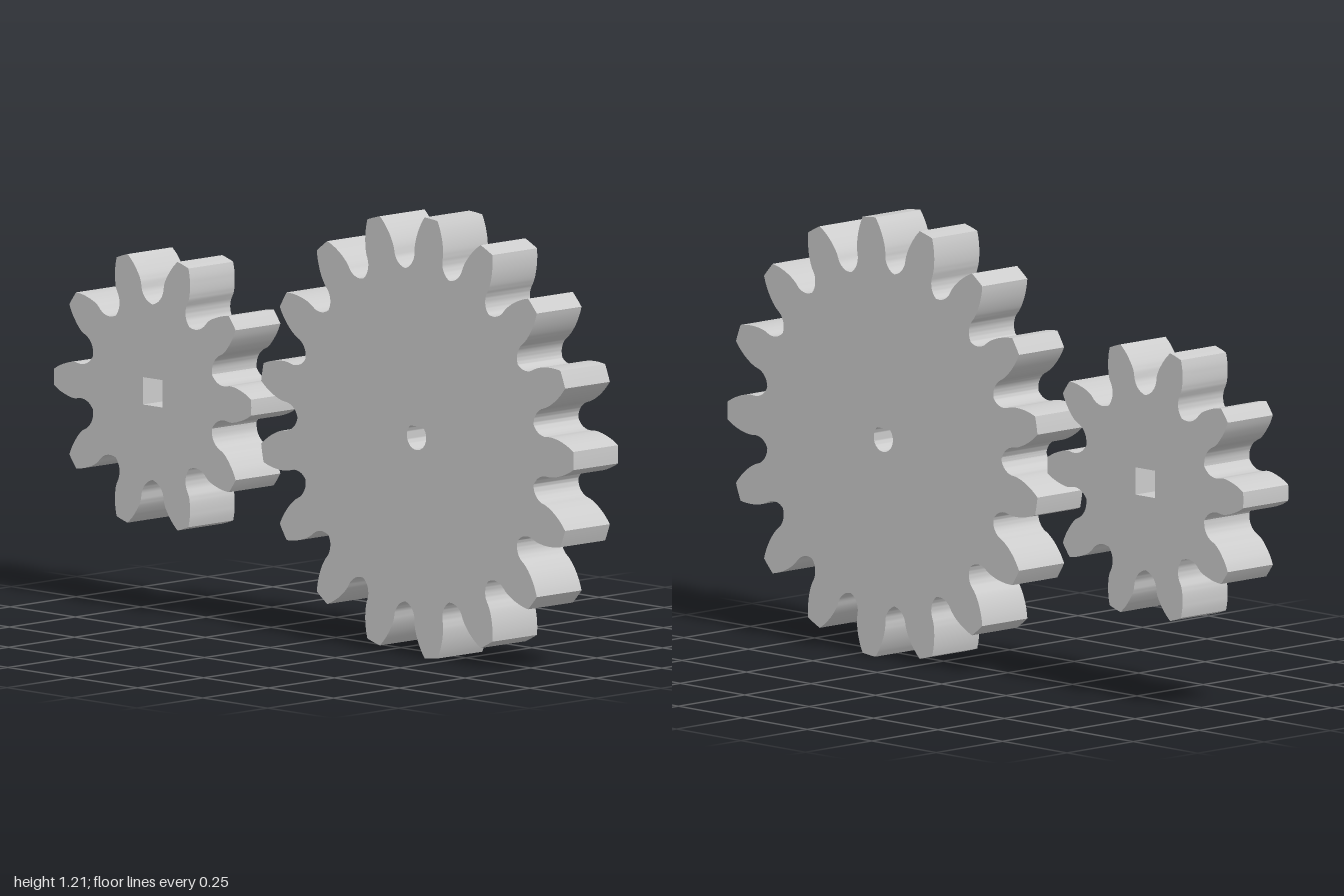
import * as THREE from 'three';
import { toCreasedNormals } from 'three/addons/utils/BufferGeometryUtils.js';

const DEPTH = 0.17;

// Outline of a spur gear; flank lists [radius, half tooth width] from root to tip
function gearShape(teeth, rootRadius, flank) {
  const half = Math.PI / teeth;
  const polar = (r, a) => new THREE.Vector2(r * Math.cos(a), r * Math.sin(a));
  // One flank in (radius, angle from tooth axis), starting mid-valley
  const curve = new THREE.SplineCurve([
    new THREE.Vector2(rootRadius, half),
    ...flank.map(([r, w]) => new THREE.Vector2(r, w / r)),
  ]);
  const side = curve.getPoints(24);
  const tip = side[side.length - 1];
  const points = [];
  for (let i = 0; i < teeth; i++) {
    const axis = i * 2 * half;
    side.forEach((p) => points.push(polar(p.x, axis - p.y)));
    for (let k = 1; k < 4; k++) points.push(polar(tip.x, axis + tip.y * (k / 2 - 1)));
    // Falling flank, leaving out the valley point shared with the next tooth
    for (let k = side.length - 1; k > 0; k--) points.push(polar(side[k].x, axis + side[k].y));
  }
  return new THREE.Shape(points.filter((p, i) => i === 0 || p.distanceTo(points[i - 1]) > 1e-5));
}

function makeGear(name, shape, bore, x, y) {
  shape.holes.push(bore);
  const geometry = new THREE.ExtrudeGeometry(shape, {
    depth: DEPTH, bevelEnabled: false, curveSegments: 24,
  });
  geometry.translate(0, 0, -DEPTH / 2);
  const mesh = new THREE.Mesh(
    toCreasedNormals(geometry, 0.6),
    new THREE.MeshStandardMaterial({ color: 0xcccccc }),
  );
  mesh.name = name;
  mesh.position.set(x, y, 0);
  return mesh;
}

export function createModel() {
  const group = new THREE.Group();
  group.name = 'gearPair';

  // Ten-tooth pinion with a square bore
  const s = 0.0375;
  const squareBore = new THREE.Path([
    new THREE.Vector2(-s, -s), new THREE.Vector2(-s, s),
    new THREE.Vector2(s, s), new THREE.Vector2(s, -s),
  ]);
  const pinion = gearShape(10, 0.24, [
    [0.244, 0.066], [0.252, 0.056], [0.265, 0.049], [0.282, 0.047],
    [0.302, 0.050], [0.32, 0.048], [0.34, 0.042], [0.36, 0.034], [0.38, 0.022],
  ]);
  group.add(makeGear('smallGear', pinion, squareBore, -0.62, 0.612));

  // Seventeen-tooth wheel with a D-shaped bore, flat side up
  const flat = Math.asin(0.028 / 0.037);
  const dBore = new THREE.Path();
  dBore.absarc(0, 0, 0.037, flat, Math.PI - flat, true);
  dBore.closePath();
  const wheel = gearShape(17, 0.458, [
    [0.461, 0.076], [0.468, 0.066], [0.48, 0.058], [0.495, 0.054],
    [0.515, 0.055], [0.535, 0.053], [0.56, 0.0465], [0.585, 0.036], [0.604, 0.025],
  ]);
  group.add(makeGear('largeGear', wheel, dBore, 0.396, 0.604));

  return group;
}
